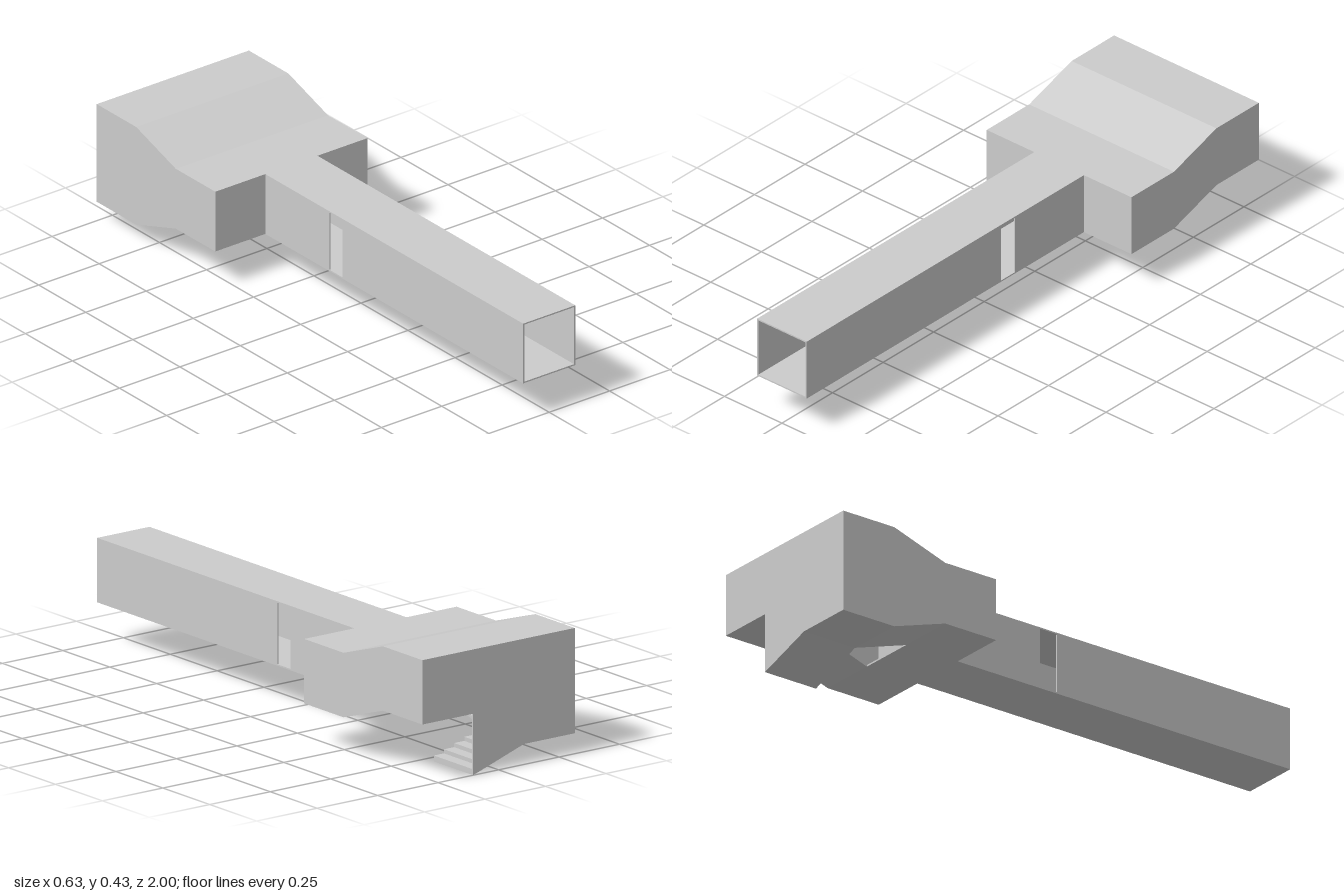
import * as THREE from 'three';

const T = 0.005;                       // shell thickness
const STEP_T = 0.006;                  // floor thickness on the stairs
const W = 0.315, IN = 0.105;           // hall half width, stairwell half width
const C = 0.108;                       // corridor half width
const FLOOR = 0.139, CEIL = 0.358, TOP = 0.427, RISE = 0.0695;
const Z0 = 0.37, Z1 = 0.58, Z2 = 0.79, Z3 = 1; // distances towards the back (-z)

const material = new THREE.MeshStandardMaterial({
  color: 0xcccccc, flatShading: true, side: THREE.DoubleSide,
});

const rect = (a, b, c, d) => [[a, b], [c, b], [c, d], [a, d]];

function extrude(points, depth, hole) {
  const shape = new THREE.Shape(points.map(p => new THREE.Vector2(...p)));
  if (hole) shape.holes.push(new THREE.Path(hole.map(p => new THREE.Vector2(...p))));
  return new THREE.ExtrudeGeometry(shape, { depth, bevelEnabled: false });
}

// Stepped top, straight sloping underside, from low end a to high end b
function flightProfile(a, b, low, steps = 5) {
  const points = [[b, low + RISE], [a, low]];
  for (let i = 0; i < steps; i++) {
    const y = low + STEP_T + RISE * (i + 1) / steps;
    points.push([a + (b - a) * i / steps, y], [a + (b - a) * (i + 1) / steps, y]);
  }
  return points;
}

export function createModel() {
  const model = new THREE.Group();
  const add = (name, geometry) => {
    const mesh = new THREE.Mesh(geometry, material);
    mesh.name = name;
    model.add(mesh);
  };
  // Profile in (-z, y), spanning x0..x1
  const acrossX = (name, points, x0, x1, hole) =>
    add(name, extrude(points, x1 - x0, hole).rotateY(Math.PI / 2).translate(x0, 0, 0));
  // Profile in (x, y), spanning z0..z1
  const acrossZ = (name, points, z0, z1, hole) =>
    add(name, extrude(points, z1 - z0, hole).translate(0, 0, z0));

  // Corridor: floor, ceiling and side walls with facing doorways
  acrossX('corridorFloor', rect(-1, FLOOR, Z0, FLOOR + T), -C, C);
  acrossX('corridorCeiling', rect(-1, CEIL - T, Z0, CEIL), -C, C);
  const door = rect(-0.04, FLOOR + T, 0.03, CEIL - T);
  for (const [name, x] of [['corridorWallRight', -C], ['corridorWallLeft', C - T]]) {
    acrossX(name, rect(-1, FLOOR, Z0, CEIL), x, x + T, door);
  }

  // Hall: front wall open to the corridor, floor and bent roof
  acrossZ('hallFrontWall', rect(-W, FLOOR, W, CEIL), -Z0 - T, -Z0,
    rect(-C + T, FLOOR + T, C - T, CEIL - T));
  acrossX('hallFloor', rect(Z0, FLOOR, Z1, FLOOR + STEP_T), -W, W);
  const roof = [[Z0, CEIL], [Z1, CEIL], [Z2, TOP], [Z3, TOP]];
  acrossX('hallRoof',
    [...roof, ...roof.map(([u, y]) => [u, y - T]).reverse()], -W, W);

  // Side walls follow the descending (right) and ascending (left) stairs
  for (const [name, x, dir] of [['hallWallRight', -W, -1], ['hallWallLeft', W - T, 1]]) {
    const y = FLOOR + dir * RISE;
    acrossX(name, [...roof, [Z3, y], [Z2, y], [Z1, FLOOR], [Z0, FLOOR]], x, x + T);
  }

  // Back wall steps down beside the open end of the lowest flight
  const low = FLOOR - RISE, high = FLOOR + RISE;
  acrossZ('hallBackWall', [[-W, TOP], [-W, low], [-IN, low], [IN, low - RISE],
    [IN, high], [W, high], [W, TOP]], -Z3, -Z3 + T);

  // Stairs wind around the open square well
  acrossX('sideFlightDown', flightProfile(Z2, Z1, low), -W, -IN);
  acrossX('sideFlightUp', flightProfile(Z1, Z2, FLOOR), IN, W);
  acrossZ('landingLow', rect(-W, low, -IN, low + STEP_T), -Z3, -Z2);
  acrossZ('landingHigh', rect(IN, high, W, high + STEP_T), -Z3, -Z2);
  acrossZ('backFlightDown', flightProfile(IN, -IN, low - RISE), -Z3, -Z2);
  acrossZ('backFlightUp', flightProfile(IN, -IN, high), -Z3, -Z2);

  return model;
}
